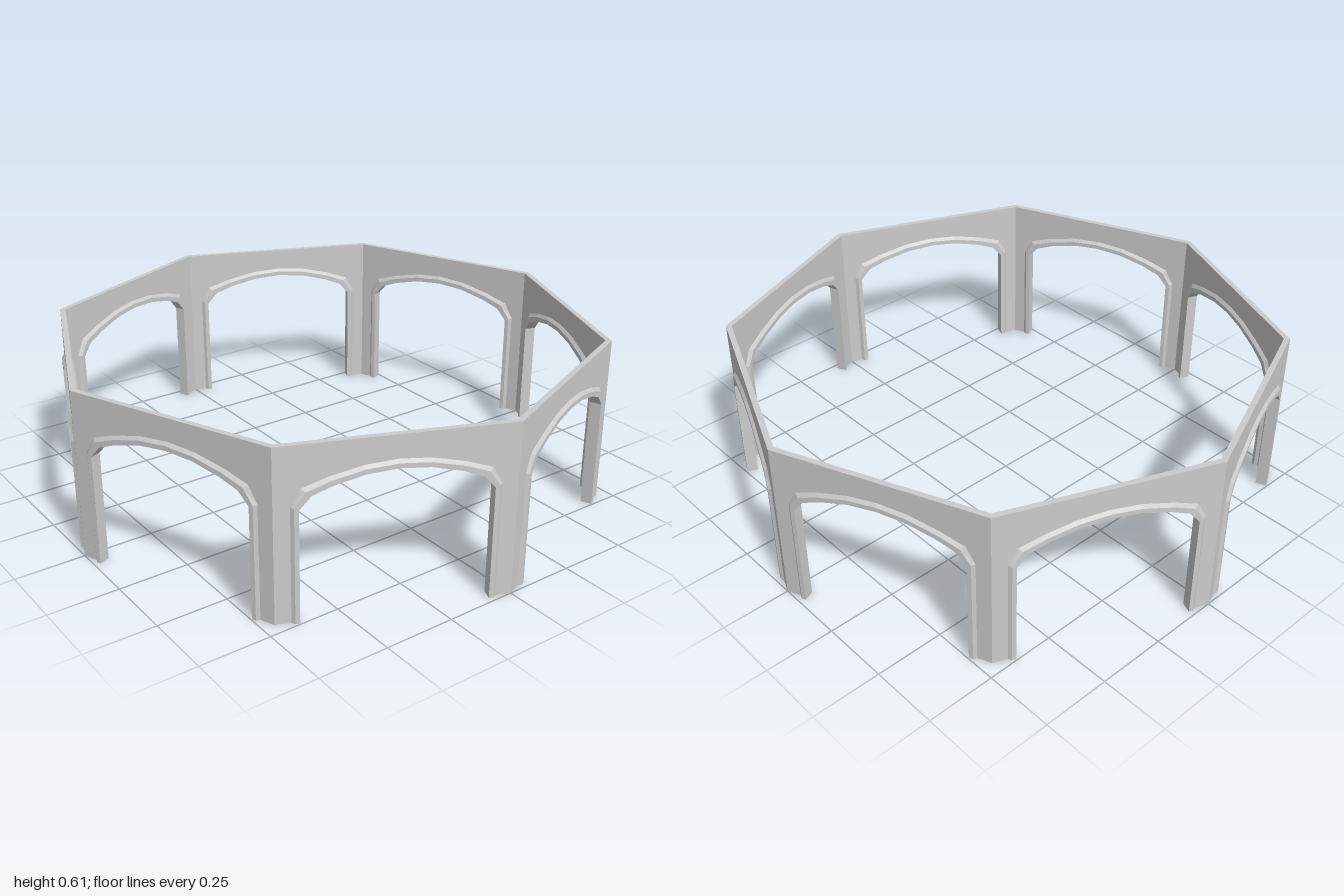
import * as THREE from 'three';

const SIDES = 8;
const HALF_ANGLE = Math.PI / SIDES;
const APOTHEM = Math.cos(HALF_ANGLE);      // outer wall plane, corners at radius 1
const HALF_LENGTH = Math.sin(HALF_ANGLE);
const HEIGHT = 0.605;
const WALL = 0.02;

// right half of the arch, from foot to crown
const innerHalf = [[0.305, 0], [0.305, 0.395], [0.268, 0.438], [0.2, 0.465], [0.1, 0.49], [0, 0.498]];
const outerHalf = [[0.33, 0], [0.33, 0.405], [0.298, 0.462], [0.215, 0.491], [0.105, 0.517], [0, 0.525]];
const mirrored = (half) => [...half, ...half.slice(0, -1).reverse().map(([x, y]) => [-x, y])];

// wall panel with an open-footed arch, ends mitred to meet the next panel
function wallGeometry() {
  const points = [
    [-HALF_LENGTH, 0], [-HALF_LENGTH, HEIGHT], [HALF_LENGTH, HEIGHT], [HALF_LENGTH, 0],
    ...mirrored(outerHalf),
  ];
  const shape = new THREE.Shape(points.map(([x, y]) => new THREE.Vector2(x, y)));
  const geometry = new THREE.ExtrudeGeometry(shape, { depth: WALL, bevelEnabled: false });
  geometry.translate(0, 0, -WALL);
  const p = geometry.attributes.position;
  for (let i = 0; i < p.count; i++) {
    const x = p.getX(i);
    if (Math.abs(x) > HALF_LENGTH - 0.001) {
      p.setX(i, x + Math.sign(x) * p.getZ(i) * Math.tan(HALF_ANGLE));
    }
  }
  geometry.computeVertexNormals();
  return geometry;
}

// moulding: a chamfered section carried along the arch, proud of both wall faces
function mouldingGeometry() {
  const inner = mirrored(innerHalf);
  const outer = mirrored(outerHalf);
  const section = [[0, 0.01], [0.6, 0.01], [1, 0], [1, -WALL], [0.6, -WALL - 0.01], [0, -WALL - 0.01]];
  const n = section.length;
  const positions = [];
  inner.forEach(([x, y], i) => {
    const [ox, oy] = outer[i];
    for (const [s, z] of section) positions.push(x + (ox - x) * s, y + (oy - y) * s, z);
  });
  const index = [];
  for (let i = 0; i < inner.length - 1; i++) {
    for (let j = 0; j < n; j++) {
      const a = i * n + j, b = i * n + (j + 1) % n;
      index.push(a, b, a + n, b, b + n, a + n);
    }
  }
  // feet
  const last = (inner.length - 1) * n;
  for (let j = 1; j < n - 1; j++) {
    index.push(0, j + 1, j, last, last + j, last + j + 1);
  }
  const geometry = new THREE.BufferGeometry();
  geometry.setAttribute('position', new THREE.Float32BufferAttribute(positions, 3));
  geometry.setIndex(index);
  const flat = geometry.toNonIndexed();
  flat.computeVertexNormals();
  return flat;
}

export function createModel() {
  const model = new THREE.Group();
  model.name = 'octagonalArcade';
  const material = new THREE.MeshStandardMaterial({
    color: 0xcccccc, flatShading: true, side: THREE.DoubleSide,
  });
  const wall = wallGeometry();
  const moulding = mouldingGeometry();

  // one arched bay per side
  for (let i = 0; i < SIDES; i++) {
    const bay = new THREE.Group();
    bay.name = `archBay${i + 1}`;
    const wallMesh = new THREE.Mesh(wall, material);
    wallMesh.name = 'wallPanel';
    const mouldingMesh = new THREE.Mesh(moulding, material);
    mouldingMesh.name = 'archMoulding';
    bay.add(wallMesh, mouldingMesh);
    const angle = (2 * i + 1) * HALF_ANGLE;
    bay.position.set(Math.sin(angle) * APOTHEM, 0, Math.cos(angle) * APOTHEM);
    bay.rotation.y = angle;
    model.add(bay);
  }
  return model;
}
